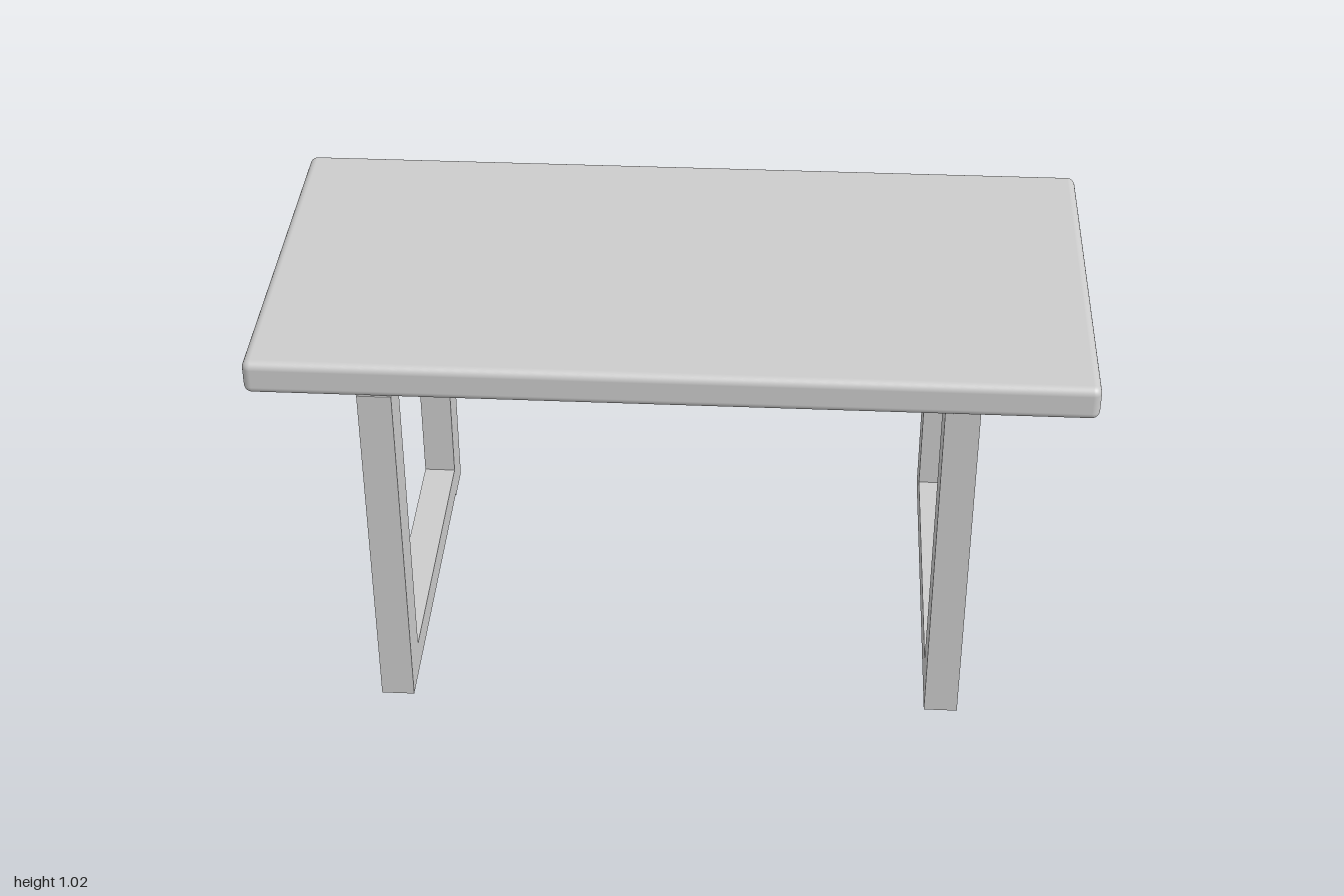
import * as THREE from 'three';
import { RoundedBoxGeometry } from 'three/addons/geometries/RoundedBoxGeometry.js';

const material = new THREE.MeshStandardMaterial({ color: 0xcccccc });

// Box given by its lower and upper limits on each axis
function beam(name, [x0, x1], [y0, y1], [z0, z1]) {
  const mesh = new THREE.Mesh(new THREE.BoxGeometry(x1 - x0, y1 - y0, z1 - z0), material);
  mesh.position.set((x0 + x1) / 2, (y0 + y1) / 2, (z0 + z1) / 2);
  mesh.name = name;
  return mesh;
}

// U-shaped leg frame: two posts joined by a floor rail
function legFrame(name, x, front, back, backFoot) {
  const frame = new THREE.Group();
  frame.name = name;
  const top = 0.93, foot = 0.009;
  frame.add(
    beam('frontPost', x, [foot, top], front),
    beam('backPost', x, [backFoot, top], back),
    beam('floorRail', x, [foot, 0.088], [back[1], front[0]]),
  );
  return frame;
}

export function createModel() {
  const table = new THREE.Group();
  table.name = 'table';

  // Slab with softly rounded edges
  const top = new THREE.Mesh(new RoundedBoxGeometry(2, 0.087, 0.984, 5, 0.02), material);
  top.name = 'tabletop';
  top.position.y = 0.972;
  table.add(top);

  // The two frames sit slightly offset from each other
  table.add(
    legFrame('leftLegFrame', [0.644, 0.727], [0.371, 0.475], [-0.485, -0.382], 0.009),
    legFrame('rightLegFrame', [-0.734, -0.652], [0.382, 0.486], [-0.471, -0.366], 0),
  );
  return table;
}
